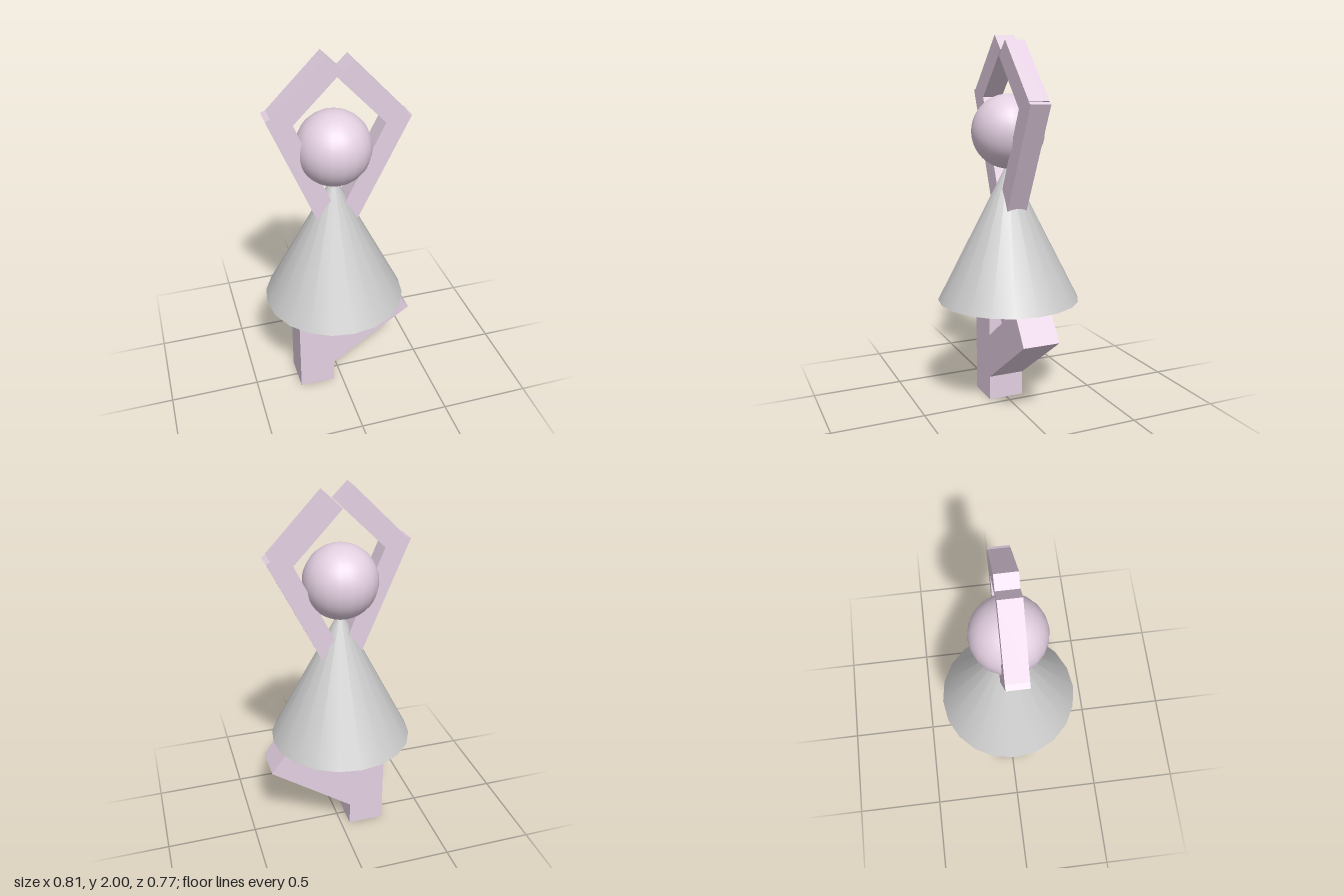
import * as THREE from 'three';

const pink = new THREE.MeshStandardMaterial({ color: 0xe3cfe1 });
const grey = new THREE.MeshStandardMaterial({ color: 0xcccccc });

// Square bar whose outer edge runs from a to b; side +1 thickens to the left of that direction, -1 to the right.
function limb(name, [ax, ay], [bx, by], side, thickness) {
  const length = Math.hypot(bx - ax, by - ay);
  const nx = (-(by - ay) / length) * side;
  const ny = ((bx - ax) / length) * side;
  const mesh = new THREE.Mesh(new THREE.BoxGeometry(length, thickness, thickness), pink);
  mesh.name = name;
  mesh.position.set((ax + bx + nx * thickness) / 2, (ay + by + ny * thickness) / 2, 0);
  mesh.rotation.z = Math.atan2(by - ay, bx - ax);
  return mesh;
}

export function createModel() {
  const model = new THREE.Group();
  model.name = 'dancer';
  const bodyX = -0.02;
  const armSize = 0.11;
  const legSize = 0.2;

  // Conical dress
  const dress = new THREE.Mesh(new THREE.ConeGeometry(0.385, 0.755, 20), grey);
  dress.name = 'dress';
  dress.position.set(bodyX, 0.595 + 0.755 / 2, 0);

  // Head
  const head = new THREE.Mesh(new THREE.SphereGeometry(0.196, 20, 20), pink);
  head.name = 'head';
  head.position.set(bodyX, 1.505, 0);
  model.add(dress, head);

  // Arms raised overhead, shoulders buried in the dress
  model.add(
    limb('rightUpperArm', [-0.073, 1.0], [-0.37, 1.715], -1, armSize),
    limb('rightForearm', [-0.345, 1.725], [-0.07, 2.0], -1, armSize),
    limb('leftUpperArm', [0.049, 1.0], [0.37, 1.655], 1, armSize),
    limb('leftForearm', [0.35, 1.67], [0.065, 1.97], 1, armSize)
  );

  // Straight standing leg and bent leg resting against it
  model.add(
    limb('standingLeg', [-0.25, 0], [-0.25, 0.68], -1, legSize),
    limb('bentShin', [-0.115, 0.089], [0.4, 0.455], 1, legSize),
    limb('bentThigh', [0.4, 0.455], [0.2, 0.74], 1, legSize)
  );

  return model;
}
